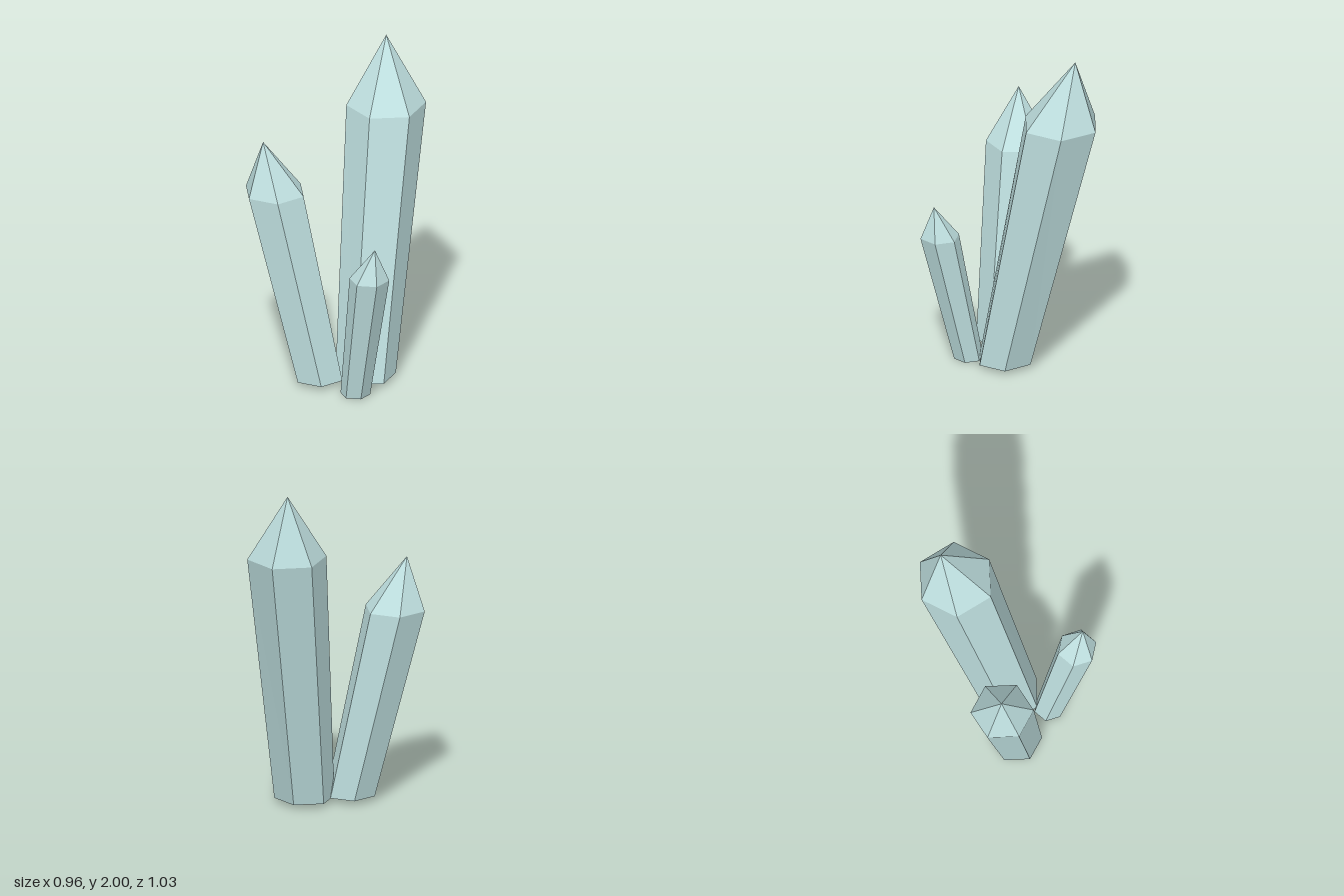
import * as THREE from 'three';

const SIDES = 6;

// Level hexagonal ring: c = [x, y, z] centre, rx/rz radii, turn = angle of the first corner in degrees
function ring(c, rx, rz, turn) {
  return Array.from({ length: SIDES }, (_, i) => {
    const a = THREE.MathUtils.degToRad(turn + i * 360 / SIDES);
    return [c[0] + rx * Math.cos(a), c[1], c[2] + rz * Math.sin(a)];
  });
}

// Leaning hexagonal shaft with a flat foot and a pointed, off-centre tip
function crystal(name, material, { foot, footRx, footRz, shoulder, radius, tip, turn }) {
  const low = ring(foot, footRx, footRz, turn);
  const high = ring(shoulder, radius, radius, turn);
  const pos = [];
  const tri = (...corners) => corners.forEach((p) => pos.push(...p));
  for (let i = 0; i < SIDES; i++) {
    const j = (i + 1) % SIDES;
    tri(low[i], high[i], high[j]); // shaft
    tri(low[i], high[j], low[j]);
    tri(high[i], tip, high[j]); // point
    tri(foot, low[i], low[j]); // underside
  }
  const geometry = new THREE.BufferGeometry();
  geometry.setAttribute('position', new THREE.Float32BufferAttribute(pos, 3));
  geometry.computeVertexNormals(); // unshared corners keep every facet flat
  const mesh = new THREE.Mesh(geometry, material);
  mesh.name = name;
  return mesh;
}

export function createModel() {
  const group = new THREE.Group();
  group.name = 'crystalCluster';
  const crystalMaterial = new THREE.MeshStandardMaterial({ color: 0xbfe0e0 });
  crystalMaterial.name = 'paleAquaCrystal';

  group.add(
    crystal('tallCrystal', crystalMaterial, {
      foot: [0.19, 0.025, 0.065], footRx: 0.178, footRz: 0.168,
      shoulder: [0.16, 1.6, -0.287], radius: 0.2325, tip: [0.125, 2, -0.365], turn: 90,
    }),
    crystal('mediumCrystal', crystalMaterial, {
      foot: [-0.04, 0.027, 0.216], footRx: 0.15, footRz: 0.15,
      shoulder: [-0.301, 1.18, 0.26], radius: 0.184, tip: [-0.363, 1.495, 0.288], turn: 0,
    }),
    crystal('smallCrystal', crystalMaterial, {
      foot: [0.227, 0, 0.29], footRx: 0.087, footRz: 0.087,
      shoulder: [0.368, 0.805, 0.402], radius: 0.1165, tip: [0.41, 1.005, 0.417], turn: -16,
    }),
  );
  return group;
}
